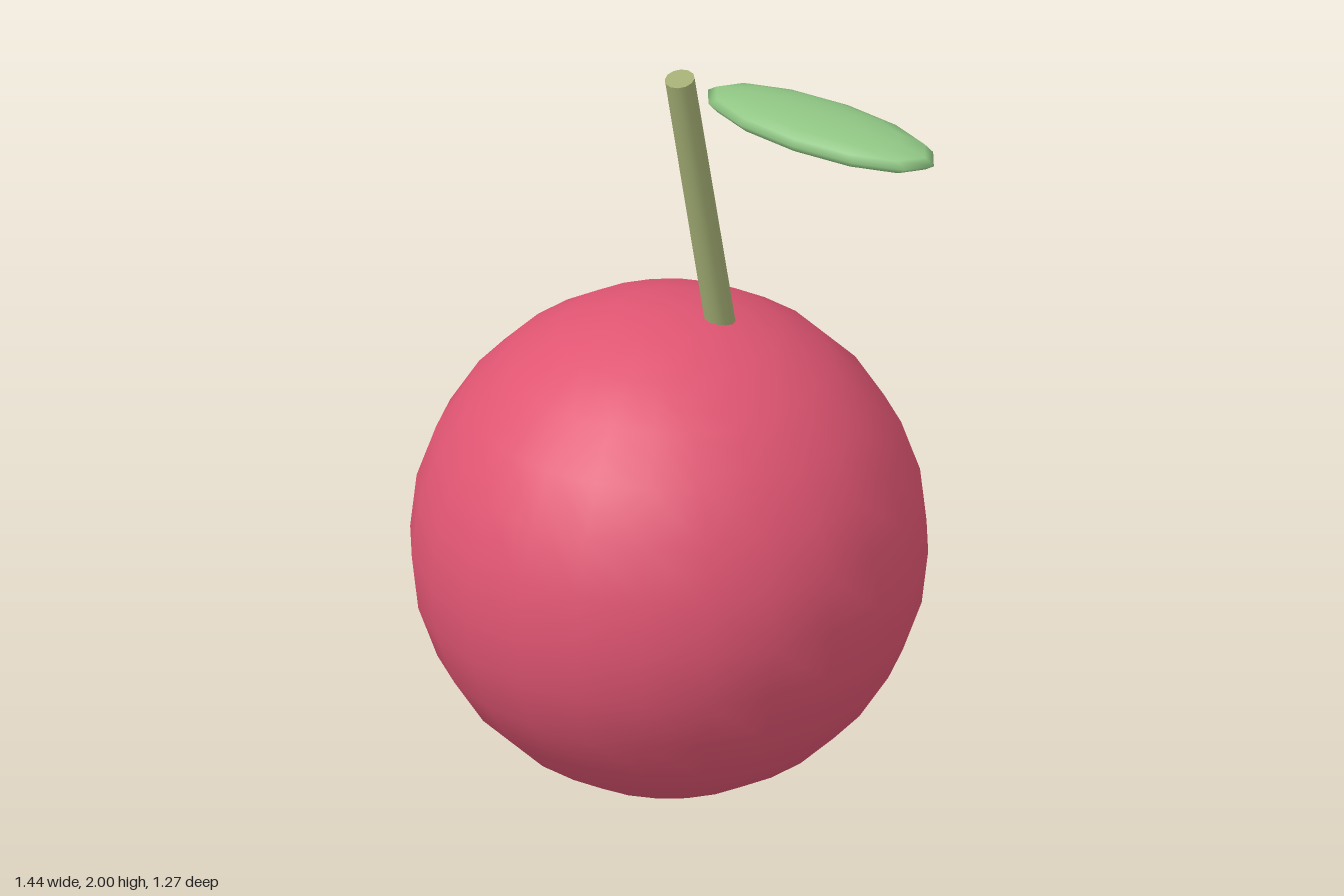
import * as THREE from 'three';

export function createModel() {
  const group = new THREE.Group();
  const add = (name, geometry, color, x, y, z) => {
    const mesh = new THREE.Mesh(geometry, new THREE.MeshStandardMaterial({ color }));
    mesh.name = name;
    mesh.position.set(x, y, z);
    group.add(mesh);
    return mesh;
  };

  // round fruit
  add('fruit', new THREE.SphereGeometry(0.637, 24, 14), 0xe05572, -0.085, 0.64, 0);

  // stem leaning forward, its foot sunk into the fruit
  const foot = new THREE.Vector3(0.027, 1.22, -0.065);
  const tip = new THREE.Vector3(0.027, 1.992, 0.11);
  const axis = tip.clone().sub(foot);
  const stem = add('stem', new THREE.CylinderGeometry(0.037, 0.038, axis.length(), 12), 0xa3ae74,
    ...foot.clone().add(tip).multiplyScalar(0.5).toArray());
  stem.quaternion.setFromUnitVectors(new THREE.Vector3(0, 1, 0), axis.normalize());

  // flat leaf, a squashed ball pointing to the side
  add('leaf', new THREE.SphereGeometry(1, 12, 8), 0x8fc583, 0.374, 1.917, 0)
    .scale.set(0.342, 0.043, 0.12);

  return group;
}
